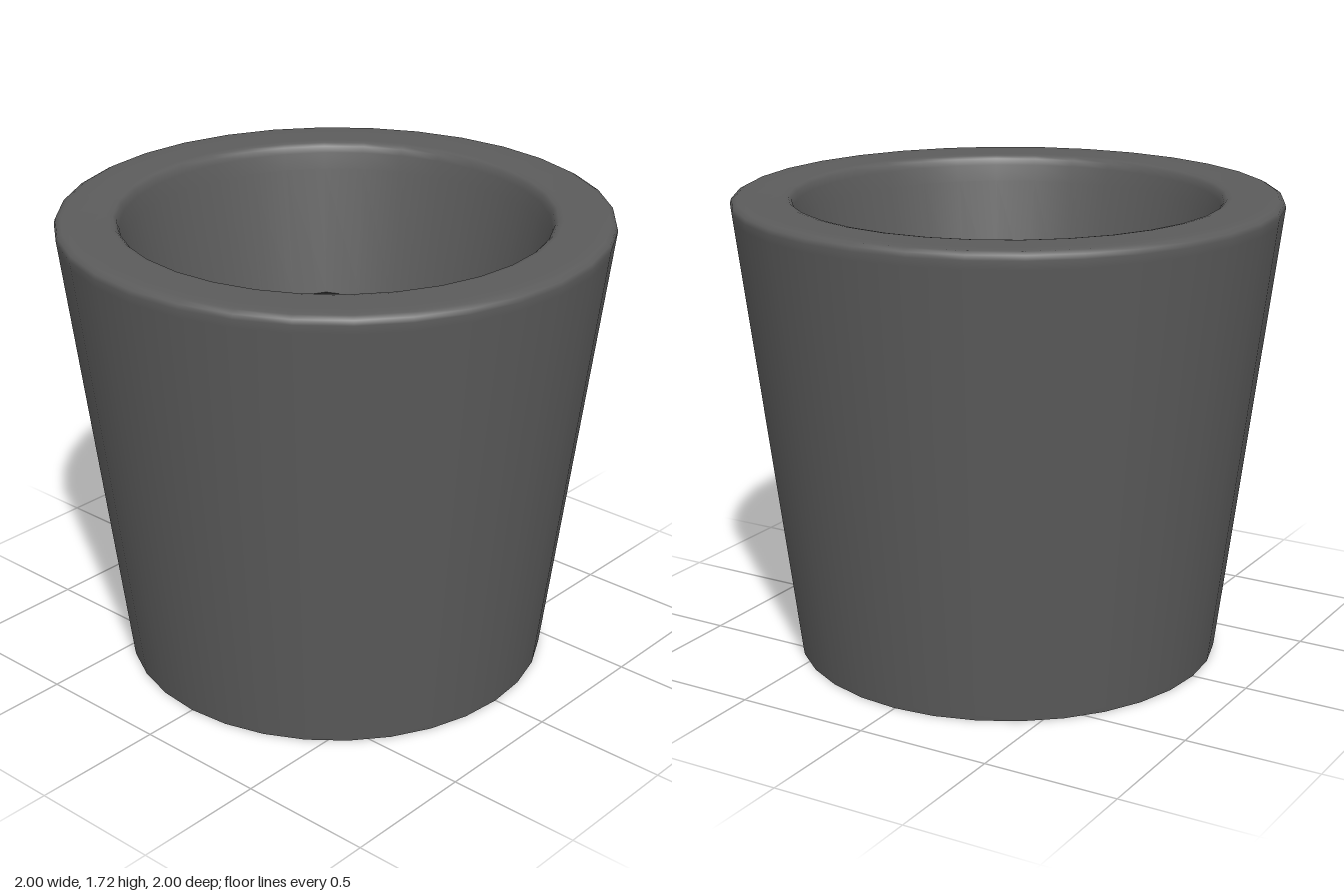
import * as THREE from 'three';

const SIDES = 32;

// Turn a list of [radius, height] points around the y axis
function turned(name, points, material) {
  const profile = points.map(([r, y]) => new THREE.Vector2(r, y));
  const mesh = new THREE.Mesh(new THREE.LatheGeometry(profile, SIDES), material);
  mesh.name = name;
  return mesh;
}

export function createModel() {
  const group = new THREE.Group();
  group.name = 'plantPot';

  const potGrey = new THREE.MeshStandardMaterial({ color: 0x5c5c5c });
  potGrey.name = 'pot grey';
  const soilDark = new THREE.MeshStandardMaterial({ color: 0x1f1f1f });
  soilDark.name = 'dark soil';

  // Tapered wall with a softly rounded rim, ending inside below the soil
  group.add(turned('potWall', [
    [0.787, 0], [0.79, 0.02], [0.994, 1.66], [0.998, 1.69], [0.993, 1.707], [0.975, 1.717],
    [0.95, 1.718], [0.81, 1.718], [0.79, 1.714], [0.778, 1.703], [0.77, 1.68],
    [0.758, 1.62], [0.662, 1.14], [0.645, 1.03],
  ], potGrey));

  // Flat underside
  group.add(turned('potBase', [[0, 0], [0.787, 0]], potGrey));

  // Uneven soil: a disc of rings lifted by gentle waves
  const rings = [];
  for (let i = 0; i <= 10; i++) rings.push([0.675 * (1 - i / 10), 1.13]);
  const soil = turned('soil', rings, soilDark);
  const pos = soil.geometry.attributes.position;
  for (let i = 0; i < pos.count; i++) {
    const x = pos.getX(i), z = pos.getZ(i);
    const bump = Math.sin(9 * x + 4 * z) + Math.sin(13 * z - 5 * x + 1) + 0.7 * Math.sin(21 * x + 17 * z);
    pos.setY(i, 1.135 + 0.01 * bump);
  }
  soil.geometry.computeVertexNormals();
  group.add(soil);

  return group;
}
